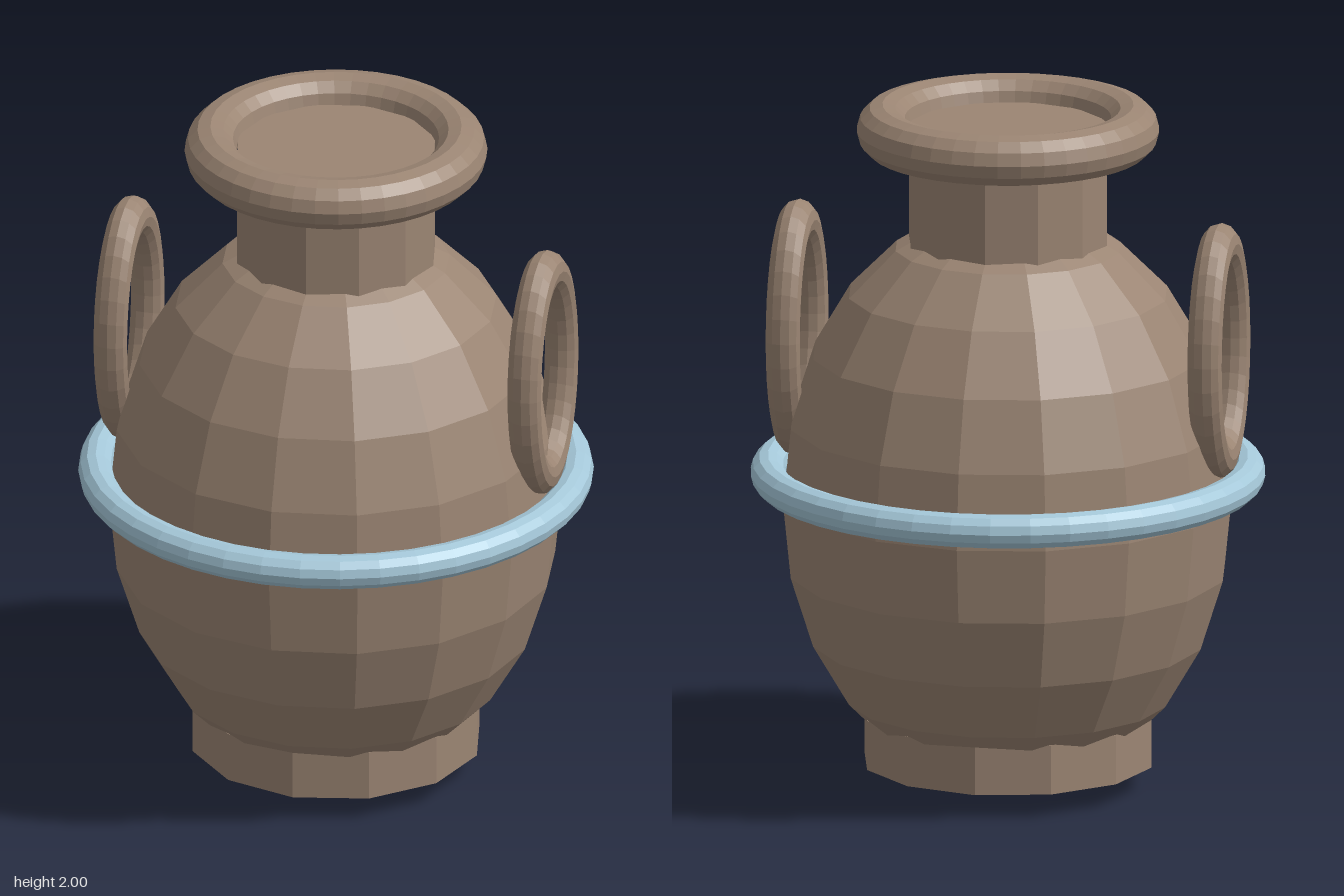
import * as THREE from 'three';

export function createModel() {
  const group = new THREE.Group();
  const clay = new THREE.MeshStandardMaterial({ color: 0x9b8573, flatShading: true });
  clay.name = 'brown clay';
  const blue = new THREE.MeshStandardMaterial({ color: 0xa5c8d9, flatShading: true });
  blue.name = 'pale blue';

  const add = (name, geometry, material, x, y) => {
    const mesh = new THREE.Mesh(geometry, material);
    mesh.name = name;
    mesh.position.set(x, y, 0);
    group.add(mesh);
    return mesh;
  };
  const ring = (radius, tube) => new THREE.TorusGeometry(radius, tube, 12, 40).rotateX(Math.PI / 2);

  // Faceted, slightly tall belly whose tip shows below the foot
  add('body', new THREE.SphereGeometry(0.65, 16, 12).scale(1, 0.845 / 0.65, 1), clay, 0, 0.847);

  // Foot and neck
  add('foot', new THREE.CylinderGeometry(0.42, 0.42, 0.145, 12), clay, 0, 0.142);
  add('neck', new THREE.CylinderGeometry(0.29, 0.29, 0.4, 12), clay, 0, 1.73);

  // Rolled lip and the band around the belly
  add('lip', ring(0.358, 0.074), clay, 0, 1.924);
  add('band', ring(0.685, 0.05), blue, 0, 0.917);

  // Oval ring handles standing at both sides
  for (const side of [-1, 1]) {
    const handle = new THREE.TorusGeometry(0.182, 0.034, 12, 32);
    handle.rotateY(Math.PI / 2).scale(0.05 / 0.034, 1.73, 1);
    add(side > 0 ? 'leftHandle' : 'rightHandle', handle, clay, side * 0.617, 1.307);
  }

  return group;
}
